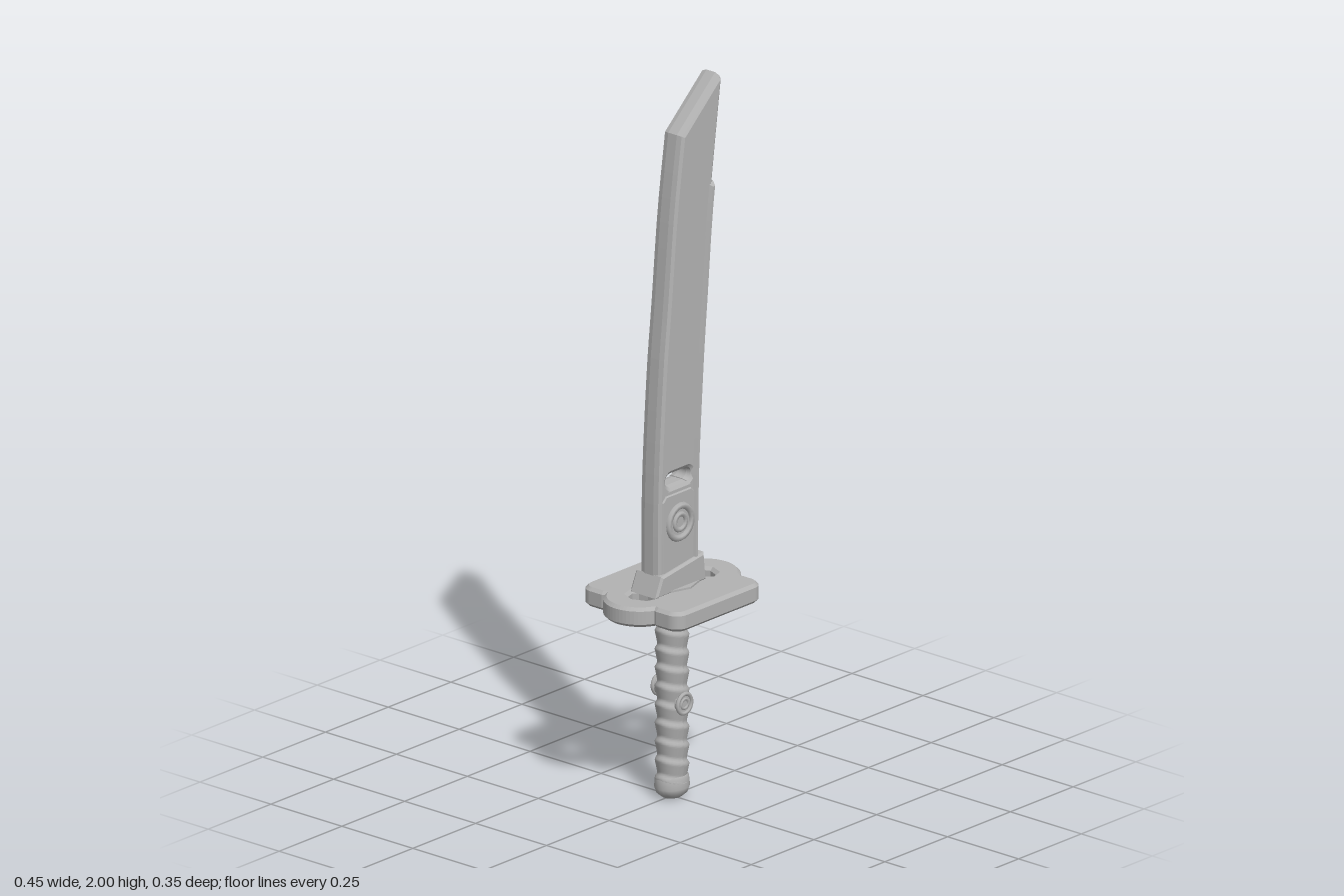
import * as THREE from 'three';

const steel = new THREE.MeshStandardMaterial({ color: 0xb2b2b2 });
steel.name = 'grey steel';

const v2 = (list) => list.map(([x, y]) => new THREE.Vector2(x, y));

// Front (spine) and rear edges of the curved blade, as x over height
const spine = new THREE.SplineCurve(v2([[-0.093, 0.62], [-0.09, 0.9], [-0.072, 1.2], [-0.052, 1.4], [-0.028, 1.65], [0.002, 1.865]]));
const rear = new THREE.SplineCurve(v2([[0.058, 0.62], [0.063, 0.9], [0.081, 1.2], [0.098, 1.4], [0.121, 1.65], [0.165, 1.985]]));

// Extrusion centred on z = 0 whose chamfers stay inside the drawn outline
function slab(shape, thickness, bevel, bevelDepth = bevel, segments = 1) {
  const depth = thickness - 2 * bevelDepth;
  const g = new THREE.ExtrudeGeometry(shape, {
    depth, bevelEnabled: true, bevelSize: bevel, bevelOffset: -bevel,
    bevelThickness: bevelDepth, bevelSegments: segments, curveSegments: 10,
  });
  return g.translate(0, 0, -depth / 2);
}

function add(parent, name, geometry) {
  const mesh = new THREE.Mesh(geometry, steel);
  mesh.name = name;
  parent.add(mesh);
  return mesh;
}

// Rounded slot through the blade
function slotPath() {
  const p = new THREE.Path();
  p.moveTo(-0.042, 0.89);
  p.lineTo(0.022, 0.89);
  p.absarc(0.022, 0.908, 0.016, -Math.PI / 2, Math.PI / 2, false);
  p.lineTo(-0.042, 0.924);
  p.absarc(-0.042, 0.908, 0.016, Math.PI / 2, Math.PI * 1.5, false);
  return p;
}

function buildBlade(root) {
  const blade = new THREE.Group();
  blade.name = 'blade';
  root.add(blade);

  const outline = new THREE.Shape([
    ...rear.getPoints(18),
    new THREE.Vector2(0.155, 2.0),
    ...spine.getPoints(18).reverse(),
  ]);
  outline.holes.push(slotPath());
  add(blade, 'bladeBody', slab(outline, 0.07, 0.012, 0.02, 2));

  // Thicker rail along the rear edge, stopping short of the tip
  const edge = rear.getPoints(30).filter((p) => p.y < 1.735);
  const rail = new THREE.Shape([
    ...edge.map((p) => new THREE.Vector2(p.x + 0.004, p.y)),
    ...edge.map((p) => new THREE.Vector2(p.x - 0.022, p.y)).reverse(),
  ]);
  add(blade, 'rearRail', slab(rail, 0.088, 0.009, 0.016));

  // Raised panel at the root of the blade
  const panel = new THREE.Shape(v2([[-0.078, 0.64], [0.045, 0.64], [0.05, 0.855], [0.035, 0.87], [-0.065, 0.87], [-0.08, 0.855]]));
  add(blade, 'rootPanel', slab(panel, 0.077, 0.004));

  // Flared collar seated on the guard
  const collar = new THREE.Shape(v2([[-0.115, 0.597], [0.085, 0.597], [0.077, 0.677], [-0.092, 0.652]]));
  add(blade, 'bladeCollar', slab(collar, 0.096, 0.006));
}

// Plain round medallion facing +z or -z
function medallion(root, name, x, y, z, radius) {
  const g = new THREE.Group();
  g.name = name;
  g.position.set(x, y, z);
  if (z < 0) g.rotation.y = Math.PI;
  add(g, 'medallionRing', new THREE.TorusGeometry(radius * 0.82, radius * 0.18, 6, 20));
  add(g, 'medallionBack', new THREE.CylinderGeometry(radius * 0.85, radius * 0.85, 0.012, 20).rotateX(Math.PI / 2).translate(0, 0, -0.005));
  add(g, 'medallionBoss', new THREE.TorusGeometry(radius * 0.4, radius * 0.14, 6, 16));
  root.add(g);
}

function buildGuard(root) {
  const guard = new THREE.Group();
  guard.name = 'guard';
  root.add(guard);

  // Rounded rectangle with a round lobe on each end
  const s = new THREE.Shape();
  const w = 0.172, d = 0.173, r = 0.036, cx = 0.1275, lobe = 0.0975;
  const a = Math.atan2(0.088, 0.042);
  s.moveTo(w, 0.096);
  s.lineTo(w, d - r);
  s.absarc(w - r, d - r, r, 0, Math.PI / 2, false);
  s.lineTo(-w + r, d);
  s.absarc(-w + r, d - r, r, Math.PI / 2, Math.PI, false);
  s.lineTo(-w, 0.096);
  s.absarc(-cx, 0, lobe, Math.PI - a, Math.PI + a, false);
  s.lineTo(-w, -0.096);
  s.lineTo(-w, -d + r);
  s.absarc(-w + r, -d + r, r, Math.PI, Math.PI * 1.5, false);
  s.lineTo(w - r, -d);
  s.absarc(w - r, -d + r, r, Math.PI * 1.5, Math.PI * 2, false);
  s.lineTo(w, -0.096);
  s.absarc(cx, 0, lobe, -a, a, false);

  // Openings on both sides of the blade
  for (const side of [1, -1]) {
    s.holes.push(new THREE.Path(v2([[0.153, 0], [0.139, 0.033], [0.112, 0.041], [0.1, 0.028], [0.096, 0], [0.1, -0.028], [0.112, -0.041], [0.139, -0.033]].map(([x, z]) => [x * side, z]))));
  }
  add(guard, 'guardPlate', slab(s, 0.055, 0.009).rotateX(-Math.PI / 2).translate(0, 0.572, 0));

  // Low eight-sided seat showing above and below the plate
  const seat = new THREE.CylinderGeometry(0.085, 0.085, 0.066, 8).toNonIndexed();
  seat.scale(1, 1, 0.78).computeVertexNormals();
  add(guard, 'guardSeat', seat).position.y = 0.572;
}

function buildHandle(root) {
  const handle = new THREE.Group();
  handle.name = 'handle';
  root.add(handle);

  // Wrapped grip: overlapping bands that slope down towards the rear
  const grip = new THREE.CylinderGeometry(1, 1, 0.48, 28, 108, true);
  const pos = grip.attributes.position;
  for (let i = 0; i < pos.count; i++) {
    const x = pos.getX(i), y = pos.getY(i), z = pos.getZ(i);
    const slope = Math.abs(Math.atan2(z, x)) / Math.PI;
    const phase = (y + 0.24) / 0.052 - slope * 0.55 + 1;
    const t = phase - Math.floor(phase);
    const radius = 0.041 + 0.008 * Math.min(t / 0.75, (1 - t) / 0.25);
    pos.setXYZ(i, x * radius, y, z * radius * 0.9);
  }
  grip.computeVertexNormals();
  add(handle, 'wrappedGrip', grip).position.y = 0.285;

  // Pommel cap
  const pommel = new THREE.LatheGeometry(v2([[0, 0], [0.03, 0.002], [0.045, 0.014], [0.051, 0.03], [0.048, 0.058], [0.042, 0.064], [0, 0.064]]), 24);
  add(handle, 'pommel', pommel.scale(1, 1, 0.88));

  // Collar under the guard
  const collar = new THREE.CylinderGeometry(0.054, 0.05, 0.035, 24).scale(1, 1, 0.85);
  add(handle, 'gripCollar', collar).position.y = 0.53;
}

export function createModel() {
  const root = new THREE.Group();
  root.name = 'sword';
  buildBlade(root);
  buildGuard(root);
  buildHandle(root);
  for (const side of [1, -1]) {
    medallion(root, 'bladeMedallion', -0.012, 0.785, side * 0.038, 0.055);
    medallion(root, 'gripMedallion', 0, side > 0 ? 0.27 : 0.305, side * 0.044, 0.033);
  }
  return root;
}
